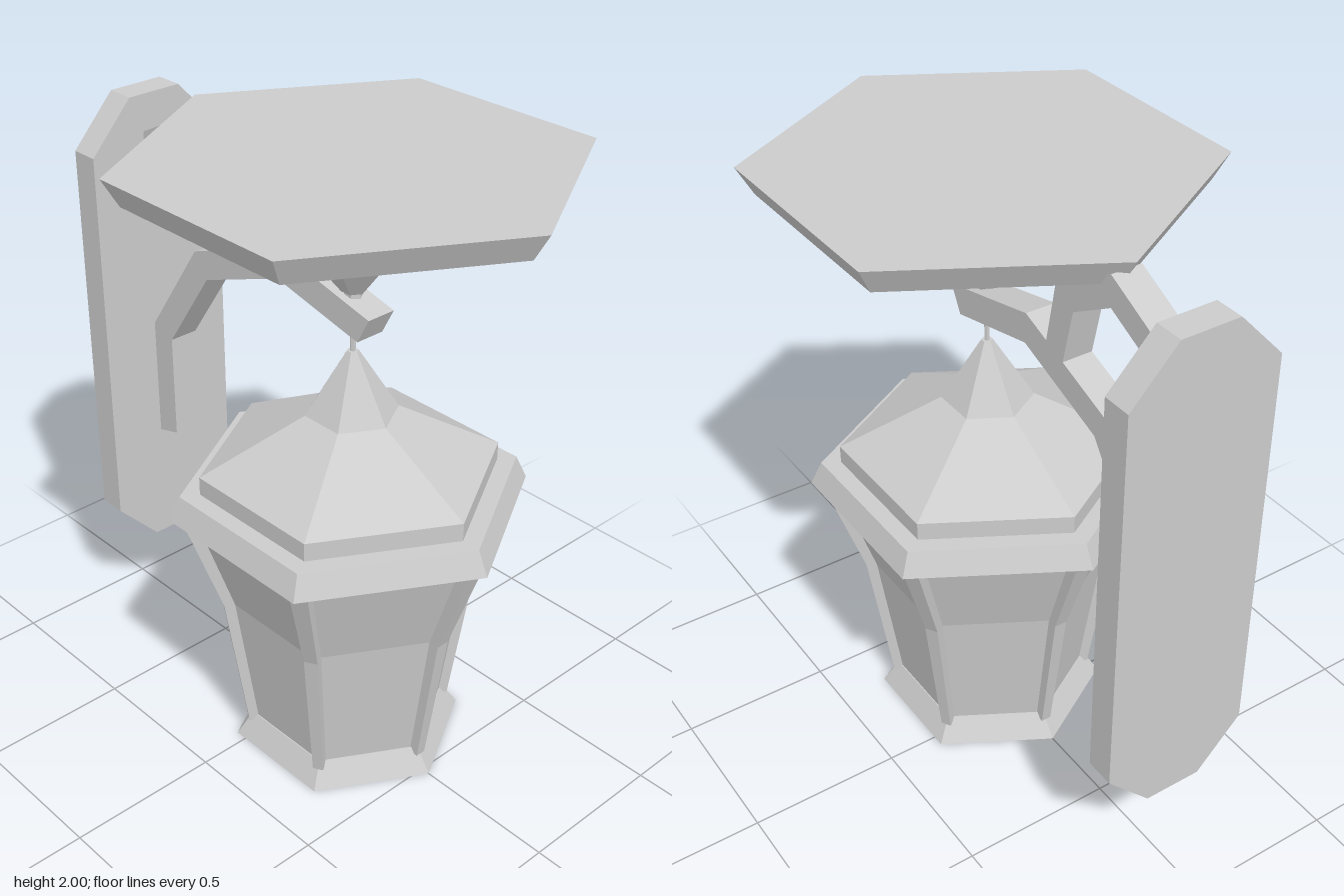
import * as THREE from 'three';

const AXIS_X = 0.15; // lantern axis
const material = new THREE.MeshStandardMaterial({ color: 0xcccccc, flatShading: true });

function add(parent, name, geometry) {
  const mesh = new THREE.Mesh(geometry, material);
  mesh.name = name;
  parent.add(mesh);
  return mesh;
}

// six-sided turned part, corners on the x axis; profile of [radius, y] from bottom to top
function hexTurned(profile) {
  const points = profile.map(([r, y]) => new THREE.Vector2(r, y));
  return new THREE.LatheGeometry(points, 6, Math.PI / 2);
}

// flat outline extruded and centred on its depth
function slab(points, depth) {
  const shape = new THREE.Shape(points.map(([x, y]) => new THREE.Vector2(x, y)));
  const geometry = new THREE.ExtrudeGeometry(shape, { depth, bevelEnabled: false });
  return geometry.translate(0, 0, -depth / 2);
}

// tapered corner bar: sections of [outer radius, y, half width]
function cornerBar(sections, thickness) {
  const positions = [], index = [];
  for (const [r, y, w] of sections) {
    positions.push(r, y, -w, r, y, w, r - thickness, y, w, r - thickness, y, -w);
  }
  for (let i = 0; i < sections.length - 1; i++) {
    for (let j = 0; j < 4; j++) {
      const a = i * 4 + j, b = i * 4 + (j + 1) % 4;
      index.push(a, a + 4, b, b, a + 4, b + 4);
    }
  }
  const t = (sections.length - 1) * 4;
  index.push(0, 1, 2, 0, 2, 3, t, t + 2, t + 1, t, t + 3, t + 2);
  const geometry = new THREE.BufferGeometry();
  geometry.setAttribute('position', new THREE.Float32BufferAttribute(positions, 3));
  geometry.setIndex(index);
  geometry.computeVertexNormals();
  return geometry;
}

export function createModel() {
  const model = new THREE.Group();
  model.name = 'wallLantern';

  // wall plate with chamfered ends
  const plate = slab([
    [-0.245, 0.5], [-0.095, 0.34], [0.095, 0.34], [0.245, 0.5],
    [0.245, 1.8], [0.095, 1.96], [-0.095, 1.96], [-0.245, 1.8],
  ], 0.095);
  plate.rotateY(Math.PI / 2).translate(-0.8025, 0, 0);
  add(model, 'wallPlate', plate);

  // bracket: long arm and the upper brace, in one outline
  add(model, 'bracketArm', slab([
    [-0.755, 0.755], [-0.665, 0.78], [-0.665, 1.14], [-0.465, 1.43], [-0.125, 1.555],
    [0.22, 1.475], [0.265, 1.56], [-0.13, 1.655], [-0.23, 1.618],
    [-0.27, 1.82], [-0.51, 1.962], [-0.755, 1.84], [-0.755, 1.578], [-0.71, 1.595],
    [-0.69, 1.78], [-0.515, 1.865], [-0.352, 1.77], [-0.31, 1.588],
    [-0.52, 1.51], [-0.755, 1.17],
  ], 0.1));

  const lantern = new THREE.Group();
  lantern.name = 'lantern';
  lantern.position.x = AXIS_X;
  model.add(lantern);

  // top canopy
  add(lantern, 'canopy', hexTurned([
    [0, 1.6], [0.037, 1.6], [0.18, 1.78], [0.65, 1.915], [0.7, 2], [0, 2],
  ]));
  add(lantern, 'canopyTip', hexTurned([[0, 1.582], [0.028, 1.582], [0.028, 1.602], [0, 1.602]]));

  // hanging rod
  add(lantern, 'hangingRod', new THREE.CylinderGeometry(0.009, 0.009, 0.22, 6).translate(0, 1.49, 0));

  // roof with its step, and the collar below
  add(lantern, 'roof', hexTurned([
    [0, 0.96], [0.47, 0.96], [0.47, 1.025], [0.145, 1.2], [0.018, 1.405], [0, 1.405],
  ]));
  add(lantern, 'collar', hexTurned([
    [0, 0.88], [0.55, 0.88], [0.57, 0.887], [0.533, 0.965], [0, 0.965],
  ]));

  // glass body and flared foot
  add(lantern, 'glass', hexTurned([[0.318, 0.06], [0.39, 0.55], [0.505, 0.885]]));
  add(lantern, 'foot', hexTurned([[0, 0], [0.38, 0], [0.325, 0.08], [0, 0.08]]));

  // corner bars
  const bar = cornerBar([[0.34, 0.06, 0.017], [0.412, 0.55, 0.022], [0.53, 0.885, 0.028]], 0.04);
  for (let i = 0; i < 6; i++) {
    add(lantern, 'cornerBar', bar).rotation.y = i * Math.PI / 3;
  }

  return model;
}
